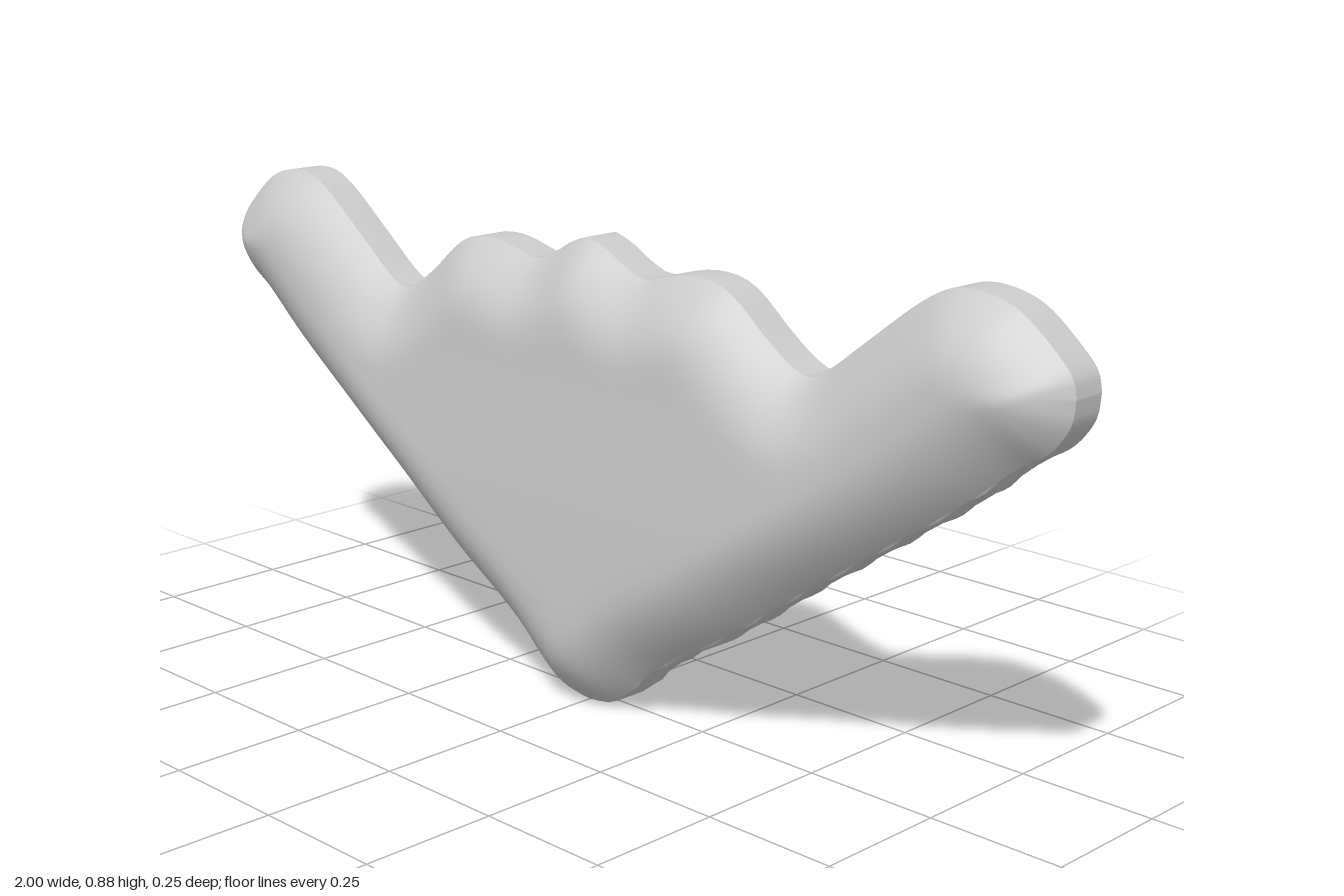
import * as THREE from 'three';
import { mergeVertices } from 'three/addons/utils/BufferGeometryUtils.js';

// Half outlines, from the middle out to the arm tip
const LOWER = [
  [0, 0], [0.06, 0.01], [0.11, 0.047], [0.17, 0.1], [0.335, 0.205], [0.49, 0.317], [0.65, 0.428],
  [0.81, 0.54], [0.91, 0.62], [0.96, 0.653], [0.994, 0.7], [1, 0.74],
];
const UPPER = [
  [0, 0.848], [0.04, 0.835], [0.085, 0.81], [0.135, 0.793], [0.19, 0.806], [0.25, 0.815],
  [0.32, 0.803], [0.41, 0.735], [0.45, 0.707], [0.495, 0.687], [0.54, 0.706], [0.6, 0.752],
  [0.73, 0.85], [0.775, 0.871], [0.82, 0.875], [0.89, 0.858], [0.955, 0.81], [0.993, 0.77], [1, 0.74],
];
const RIM = 0.032; // half depth of the flat rim
const SHOULDER = 0.14; // width of the rounded border
const COLS = 130;
const ROWS = 30;

const sample = (pts) => new THREE.CatmullRomCurve3(
  pts.map(([x, y]) => new THREE.Vector3(x, y, 0)), false, 'centripetal').getSpacedPoints(90);
const lower = sample(LOWER);
const upper = sample(UPPER);

// Height of an outline at a given x
function heightAt(line, x) {
  const k = Math.max(1, line.findIndex((p) => p.x >= x - 1e-9));
  const a = line[k - 1], b = line[k];
  return THREE.MathUtils.mapLinear(x, a.x, b.x, a.y, b.y);
}

// Distance from a point to the nearest edge
function edgeDistance(x, y) {
  let best = Infinity;
  for (const line of [lower, upper]) {
    for (let k = 1; k < line.length; k++) {
      const a = line[k - 1], dx = line[k].x - a.x, dy = line[k].y - a.y;
      const t = THREE.MathUtils.clamp(((x - a.x) * dx + (y - a.y) * dy) / (dx * dx + dy * dy), 0, 1);
      best = Math.min(best, Math.hypot(x - a.x - t * dx, y - a.y - t * dy));
    }
  }
  return best;
}

// Half depth: rounded shoulders, thinner high on the front and along the arms at the back
function depthAt(ax, y, front) {
  const full = front
    ? 0.121 - 0.012 * THREE.MathUtils.smoothstep(y, 0.35, 0.65)
    : 0.125 - 0.037 * THREE.MathUtils.smoothstep(ax, 0.15, 0.95);
  const t = Math.min(edgeDistance(ax, y) / SHOULDER, 1);
  return RIM + (full - RIM) * (1 - (1 - t) ** 2);
}

// Closed cross-sections marching from the right tip to the left tip
function skin() {
  const verts = [], index = [], ring = 2 * (ROWS + 1);
  for (let i = 0; i <= COLS; i++) {
    const x = Math.sin((i / COLS - 0.5) * Math.PI), ax = Math.abs(x);
    const y0 = heightAt(lower, ax), y1 = heightAt(upper, ax);
    // Gentle ripples along the lower rim
    const ripple = ax > 0.12 && ax < 0.9 ? 0.004 * Math.sin((y0 / 0.065) * Math.PI * 2) : 0;
    for (let j = 0; j < ring; j++) {
      const front = j <= ROWS;
      const v = (front ? j : ring - 1 - j) / ROWS;
      const y = THREE.MathUtils.lerp(y0, y1, 0.5 - 0.5 * Math.cos(v * Math.PI));
      verts.push(x, v === 0 ? y + ripple : y, (front ? 1 : -1) * depthAt(ax, y, front));
      if (i < COLS) {
        const a = i * ring + j, b = i * ring + ((j + 1) % ring);
        index.push(a, a + ring, b + ring, a, b + ring, b);
      }
    }
  }
  const geo = new THREE.BufferGeometry();
  geo.setAttribute('position', new THREE.Float32BufferAttribute(verts, 3));
  geo.setIndex(index);
  const welded = mergeVertices(geo, 1e-4);
  welded.computeVertexNormals();
  return welded;
}

export function createModel() {
  const group = new THREE.Group();
  group.name = 'wingedBody';
  const body = new THREE.Mesh(skin(), new THREE.MeshStandardMaterial({ color: 0xcccccc }));
  body.name = 'body';
  group.add(body);
  return group;
}
